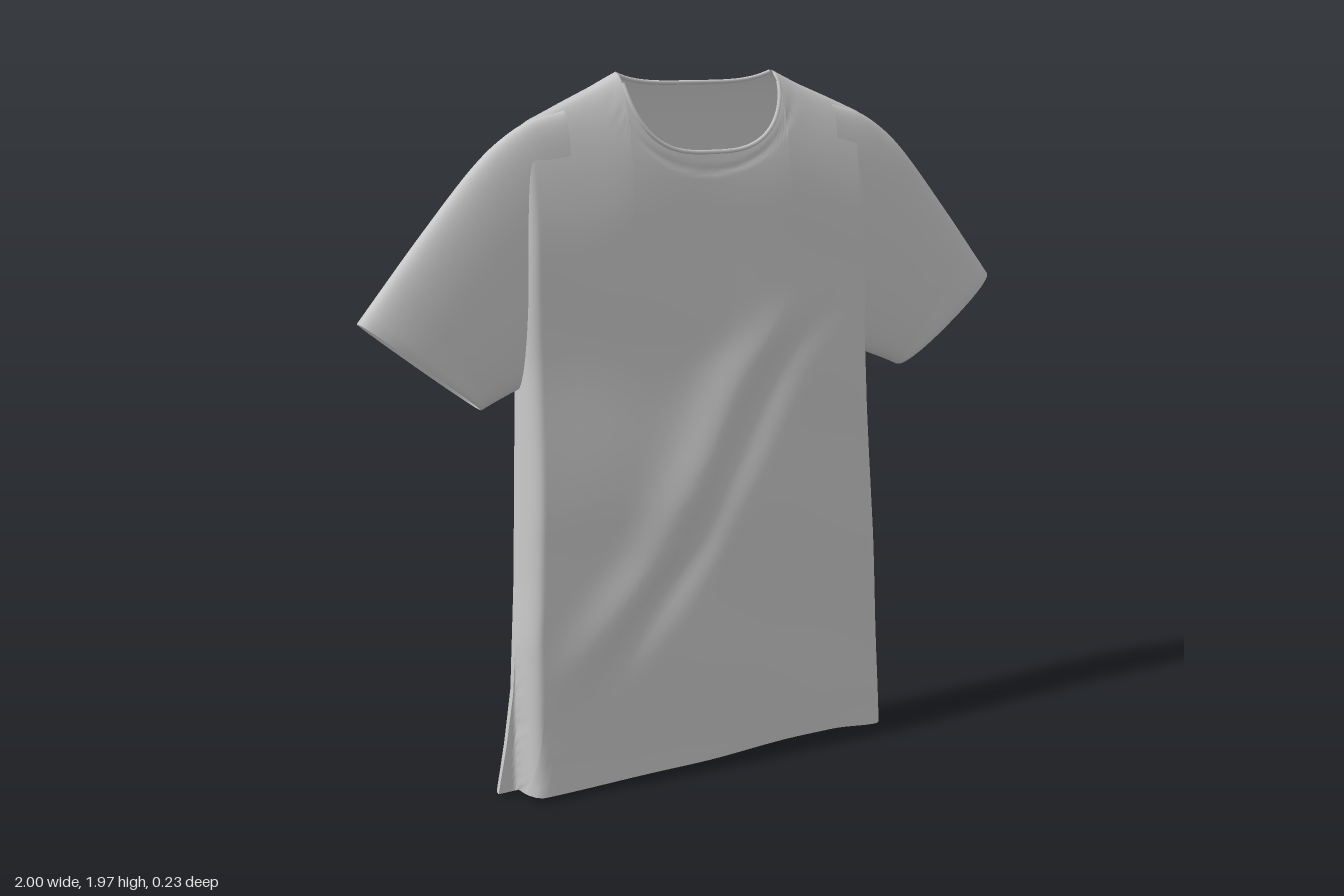
import * as THREE from 'three';

const cotton = new THREE.MeshStandardMaterial({ color: 0xc8c8c8, side: THREE.DoubleSide });
cotton.name = 'greyCotton';

const { lerp, clamp, smoothstep } = THREE.MathUtils;
const gauss = (d, s) => Math.exp(-(d * d) / (s * s));

// Piecewise-linear profile through [position, value] points
function profile(points) {
  return (t) => {
    let i = 1;
    while (i < points.length - 1 && t > points[i][0]) i++;
    const [a, va] = points[i - 1], [b, vb] = points[i];
    return lerp(va, vb, clamp((t - a) / (b - a), 0, 1));
  };
}

// Outline of the body
const NECK = 0.245;
const leftWidth = profile([[0, 0.602], [0.3, 0.583], [0.6, 0.565], [1, 0.535], [1.2, 0.525]]);
const rightWidth = profile([[0, 0.662], [0.15, 0.632], [0.3, 0.608], [0.6, 0.588], [1.2, 0.565]]);
const shoulderY = profile([[NECK, 1.965], [0.33, 1.925], [0.42, 1.888], [0.52, 1.845], [0.6, 1.795]]);
const hemY = (x) => 0.015 * (1 - smoothstep(x, 0.4, 0.58));

function topY(x, front) {
  const a = Math.abs(x) / NECK;
  if (a >= 1) return shoulderY(Math.abs(x));
  return front ? 1.965 - 0.21 * Math.sqrt(1 - a ** 3) : 1.938 + 0.027 * a ** 4;
}

// Depth of the two panels and of the seam between them
const frontDepth = profile([[0, 0.068], [0.8, 0.07], [1.2, 0.064], [1.6, 0.058], [1.95, 0.05]]);
const backDepth = profile([[0, -0.045], [0.6, -0.07], [1.2, -0.084], [1.6, -0.092], [1.95, -0.09]]);
const foldX = profile([[0.25, -0.47], [0.42, -0.35], [0.65, -0.16], [0.95, 0.02], [1.15, 0.13], [1.35, 0.3]]);
const round = (d, r) => Math.sqrt(1 - (1 - clamp(d / r, 0, 1)) ** 2);

function panelZ(x, y, front) {
  const ax = Math.abs(x);
  const shoulderSeam = lerp(-0.05, -0.02, smoothstep(ax, 0.25, 0.55));
  const seam = lerp(0.005, shoulderSeam, smoothstep(y, 1.2, 1.9));
  let edge = x > 0 ? leftWidth(y) : rightWidth(y);
  if (front && x < 0) edge = Math.min(edge, 0.598);
  const e = round(edge - ax, 0.04) * round(shoulderY(ax) - y, 0.4);
  let z;
  if (front) {
    z = frontDepth(y);
    // Lower right half hangs further forward
    z += 0.024 * (1 - smoothstep(x, -0.1, 0.3)) * (1 - smoothstep(y, 0.75, 1.25));
    // Long diagonal fold, soft above and steep below
    const d = (x - foldX(y)) * 0.78;
    const along = smoothstep(y, 0.2, 0.6) * (1 - smoothstep(y, 1.05, 1.38));
    z += along * (0.022 * gauss(d + 0.03, d < -0.03 ? 0.08 : 0.045) - 0.014 * gauss(d - 0.07, 0.05));
    // Faint creases and the stitched collar line
    z += 0.003 * Math.sin(9 * x + 5 * y) * Math.sin(7 * y - 4 * x);
    const collar = Math.hypot(x / 0.295, (y - 1.965) / 0.265);
    z -= 0.004 * gauss(collar - 1, 0.025);
  } else {
    z = backDepth(y);
    // Fold beside the left armhole
    z -= 0.022 * gauss(x - 0.41, 0.055) * gauss(y - 1.4, 0.38);
    z += 0.014 * gauss(x - 0.49, 0.03) * gauss(y - 1.4, 0.35);
    z -= 0.004 * gauss(x + 0.4, 0.1) * gauss(y - 1.4, 0.4);
  }
  // Stitched hem line
  z += (front ? -1 : 1) * 0.002 * gauss(y - 0.07, 0.012);
  return lerp(seam, z, e);
}

// Surface from rows of points
function grid(rows, flip = false) {
  const n = rows[0].length, index = [];
  for (let j = 0; j < rows.length - 1; j++) {
    for (let i = 0; i < n - 1; i++) {
      const a = j * n + i, b = a + 1, c = a + n, d = c + 1;
      index.push(...(flip ? [a, d, b, a, c, d] : [a, b, d, a, d, c]));
    }
  }
  const geo = new THREE.BufferGeometry();
  geo.setAttribute('position', new THREE.Float32BufferAttribute(rows.flat(2), 3));
  geo.setIndex(index);
  geo.computeVertexNormals();
  return geo;
}

function add(group, name, geo) {
  const mesh = new THREE.Mesh(geo, cotton);
  mesh.name = name;
  group.add(mesh);
  return mesh;
}

// Column positions, denser at the side seams and the neck corners
function columns() {
  const keys = [-1, -0.9, -NECK / 0.565, 0, NECK / 0.525, 0.9, 1];
  const out = [-1], n = 16;
  for (let k = 1; k < keys.length; k++) {
    for (let i = 1; i <= n; i++) out.push(lerp(keys[k - 1], keys[k], (1 - Math.cos((Math.PI * i) / n)) / 2));
  }
  return out;
}

function panel(front) {
  const us = columns(), rows = [], n = 80;
  for (let j = 0; j <= n; j++) {
    const t = j / n, v = lerp(t, Math.sin((t * Math.PI) / 2), 0.7);
    rows.push(us.map((u) => {
      const top = topY(u * (u > 0 ? 0.525 : 0.565), front);
      const bottom = hemY(u * 0.6);
      const y = lerp(bottom, top, v);
      const x = u * (u > 0 ? leftWidth(y) : rightWidth(y));
      return [x, y, panelZ(x, y, front)];
    }));
  }
  return grid(rows, !front);
}

// Rolled edge along one half of the neckline
function neckEdge(front) {
  const pts = [];
  for (let i = 0; i <= 32; i++) {
    const x = -NECK * Math.cos((Math.PI * i) / 32) * 0.995;
    const y = topY(x, front) - 0.005;
    pts.push(new THREE.Vector3(x, y, panelZ(x, y, front)));
  }
  return new THREE.TubeGeometry(new THREE.CatmullRomCurve3(pts), 80, 0.006, 8);
}

// Sleeve: flat oval rings between the upper and lower edges
function sleeve() {
  const curve = (pts) => new THREE.CatmullRomCurve3(pts.map(([x, y]) => new THREE.Vector3(x, y, 0)));
  const upper = curve([[0.42, 1.87], [0.52, 1.842], [0.6, 1.795], [0.67, 1.735], [0.83, 1.555], [1, 1.35]]);
  const lower = curve([[0.42, 1.2], [0.5, 1.165], [0.54, 1.15], [0.58, 1.135], [0.63, 1.115], [0.675, 1.095]]);
  const rows = [], n = 36, sides = 56;
  const ring = (t, inset) => {
    const a = upper.getPoint(t), b = lower.getPoint(t);
    const mid = a.clone().add(b).multiplyScalar(0.5), half = a.clone().sub(b).multiplyScalar(0.5);
    const k = 1 - inset / half.length();
    const thick = 0.058 - 0.002 * gauss(t - 0.9, 0.02) - inset;
    const row = [];
    for (let i = 0; i <= sides; i++) {
      const q = (i / sides) * Math.PI * 2, c = Math.cos(q), s = Math.sin(q);
      const h = Math.sign(c) * Math.abs(c) ** 0.9 * k;
      const w = Math.sign(s) * Math.abs(s) ** 0.8 * thick;
      row.push([mid.x + half.x * h, mid.y + half.y * h, -0.016 + w]);
    }
    return row;
  };
  for (let j = 0; j <= n; j++) rows.push(ring(j / n, 0));
  // Cuff turned inwards
  rows.push(ring(1, 0.008), ring(0.93, 0.01));
  return grid(rows);
}

export function createModel() {
  const shirt = new THREE.Group();
  shirt.name = 'shirt';
  add(shirt, 'frontPanel', panel(true));
  add(shirt, 'backPanel', panel(false));
  add(shirt, 'frontNeckEdge', neckEdge(true));
  add(shirt, 'backNeckEdge', neckEdge(false));
  const left = sleeve();
  add(shirt, 'leftSleeve', left);
  add(shirt, 'rightSleeve', left).scale.x = -1;
  return shirt;
}
